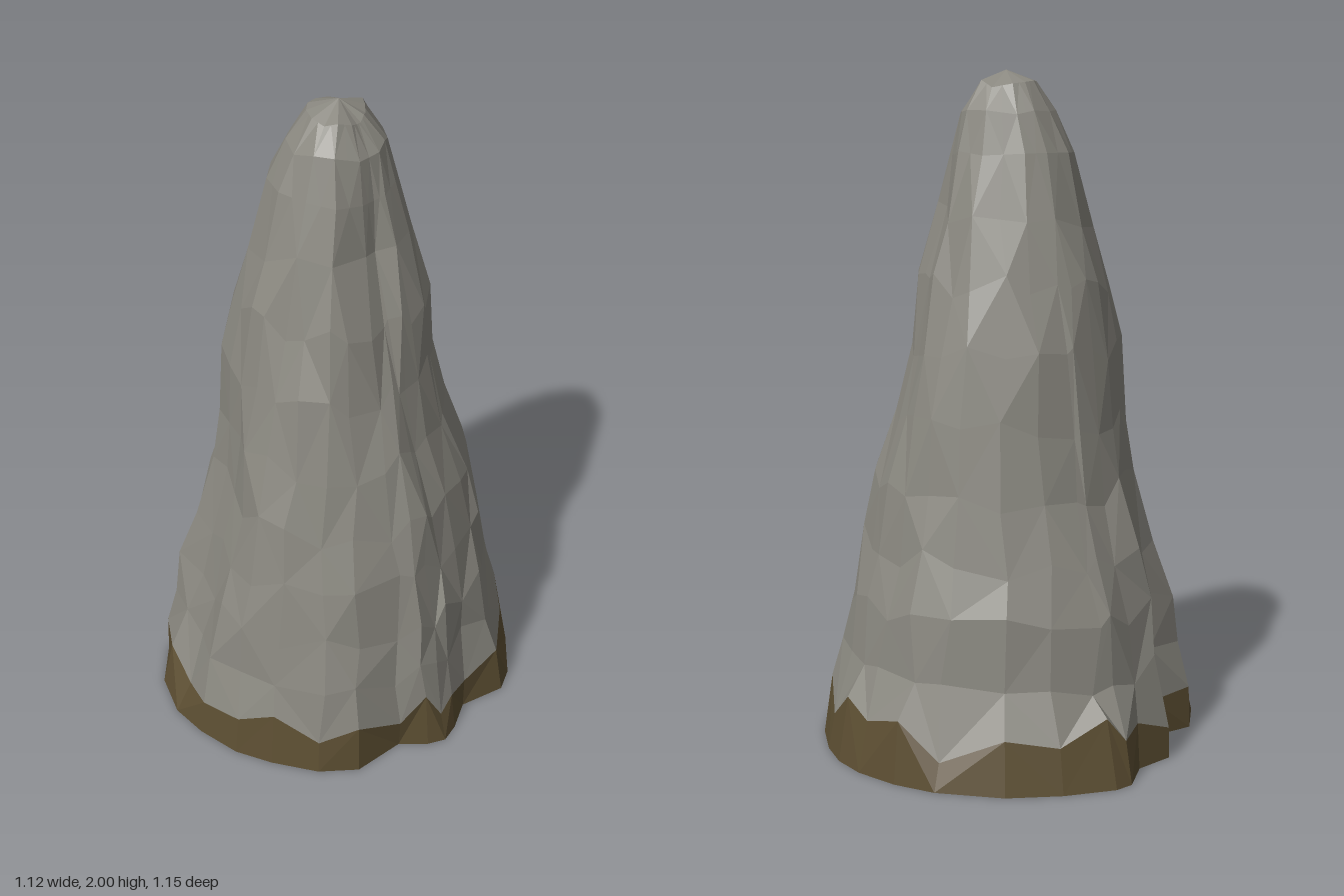
import * as THREE from 'three';

// Ring heights and how far the rock reaches towards +x, +z, -x, -z at each
const RINGS = [
  [0, .56, .58, .56, .58], [.13, .53, .56, .56, .55], [.28, .49, .53, .53, .49],
  [.45, .46, .5, .5, .475], [.62, .425, .465, .465, .43], [.8, .385, .425, .4, .4],
  [1, .31, .38, .37, .37], [1.2, .26, .33, .35, .33], [1.4, .25, .28, .32, .285],
  [1.58, .19, .225, .27, .235], [1.76, .15, .185, .215, .18], [1.88, .12, .145, .155, .15],
  [1.96, .06, .09, .1, .1],
];

// Footprint as x, z pairs, running from +x towards +z
const FOOT = [
  .56, .02, .55, .1, .44, .2, .43, .3, .41, .36, .36, .39, .27, .41, .17, .54, .05, .575,
  -.1, .57, -.22, .55, -.35, .49, -.45, .42, -.53, .3, -.56, .15, -.46, .02, -.56, -.11,
  -.5, -.22, -.51, -.34, -.48, -.39, -.35, -.48, -.2, -.55, 0, -.58, .13, -.565,
  .26, -.52, .35, -.46, .42, -.38, .49, -.26, .53, -.14,
];

// Grooves (negative) and bulges: angle, angular width, height, half height, depth
const DENTS = [
  [.8, .28, 1.55, .25, -.06],     // front crease beside the nose
  [-.8, .22, 1.5, .22, -.035],    // crease behind the nose
  [1.75, .2, 1.55, .2, -.02],     // upper front crease
  [2.5, .24, .55, .45, -.065],    // long hollow beside the right shoulder
  [2.9, .2, .4, .2, .02],         // right shoulder
  [3.12, .15, .45, .3, -.04],     // side cleft
  [3.85, .2, .2, .15, -.03],      // rear scoop
];

const COLS = FOOT.length / 2;

function makeRandom(seed) {
  return () => {
    seed = (seed * 16807) % 2147483647;
    return seed / 2147483647;
  };
}

// Blend of the four reaches as quarter ellipses
function ellipseRadius(ring, a) {
  const c = Math.cos(a), s = Math.sin(a);
  return 1 / Math.hypot(c / (c > 0 ? ring[1] : ring[3]), s / (s > 0 ? ring[2] : ring[4]));
}

function buildRings() {
  const random = makeRandom(71);
  const jitter = (size) => (random() - .5) * 2 * size;
  return RINGS.map((ring, j) => {
    const points = [];
    const fade = Math.max(0, 1 - ring[0]) ** 2;
    for (let i = 0; i < COLS; i++) {
      const x = FOOT[2 * i], z = FOOT[2 * i + 1];
      const base = Math.atan2(z, x);
      const ratio = Math.hypot(x, z) / ellipseRadius(RINGS[0], base);
      const a = base + (j > 1 ? jitter(.04) : 0);
      let r = ellipseRadius(ring, a) * (1 + (ratio - 1) * fade);
      if (j > 0) {
        for (const [angle, width, height, half, depth] of DENTS) {
          const d = Math.atan2(Math.sin(a - angle), Math.cos(a - angle)) / width;
          const h = (ring[0] - height) / half;
          r += depth * Math.exp(-d * d - h * h);
        }
        r += jitter(.022 * r);
      }
      // The second ring zigzags to give the soil its ragged edge
      let y = ring[0];
      if (j === 1) y += (i % 2 ? .025 : -.025) + jitter(.045);
      else if (j > 1) y += jitter(j < 10 ? .04 : .012);
      points.push(new THREE.Vector3(r * Math.cos(a), y, r * Math.sin(a)));
    }
    // Broader facets towards the summit
    if (j > 8) {
      for (let i = 1; i < COLS - 1; i += 2) points[i].lerpVectors(points[i - 1], points[i + 1], .5);
    }
    return points;
  });
}

// Faceted skin between neighbouring rings, optionally closed by a tip
function skin(name, rings, color, tip) {
  const positions = [];
  const tri = (...corners) => corners.forEach((p) => positions.push(p.x, p.y, p.z));
  for (let j = 0; j < rings.length - 1; j++) {
    for (let i = 0; i < COLS; i++) {
      const k = (i + 1) % COLS;
      const a = rings[j][i], b = rings[j][k], c = rings[j + 1][k], d = rings[j + 1][i];
      if ((i + j) % 2) { tri(a, d, b); tri(b, d, c); }
      else { tri(a, d, c); tri(a, c, b); }
    }
  }
  if (tip) {
    const last = rings[rings.length - 1];
    last.forEach((p, i) => tri(p, tip, last[(i + 1) % COLS]));
  }
  const geometry = new THREE.BufferGeometry();
  geometry.setAttribute('position', new THREE.Float32BufferAttribute(positions, 3));
  geometry.computeVertexNormals();
  const material = new THREE.MeshStandardMaterial({ color, flatShading: true, side: THREE.DoubleSide });
  const mesh = new THREE.Mesh(geometry, material);
  mesh.name = name;
  return mesh;
}

export function createModel() {
  const group = new THREE.Group();
  group.name = 'rockSpire';
  const rings = buildRings();
  // Open underneath: a soil band with the stone rising from its ragged edge
  group.add(skin('soilBand', rings.slice(0, 2), 0x5c4e32));
  group.add(skin('stone', rings.slice(1), 0x8a8880, new THREE.Vector3(-.01, 2, 0)));
  return group;
}
